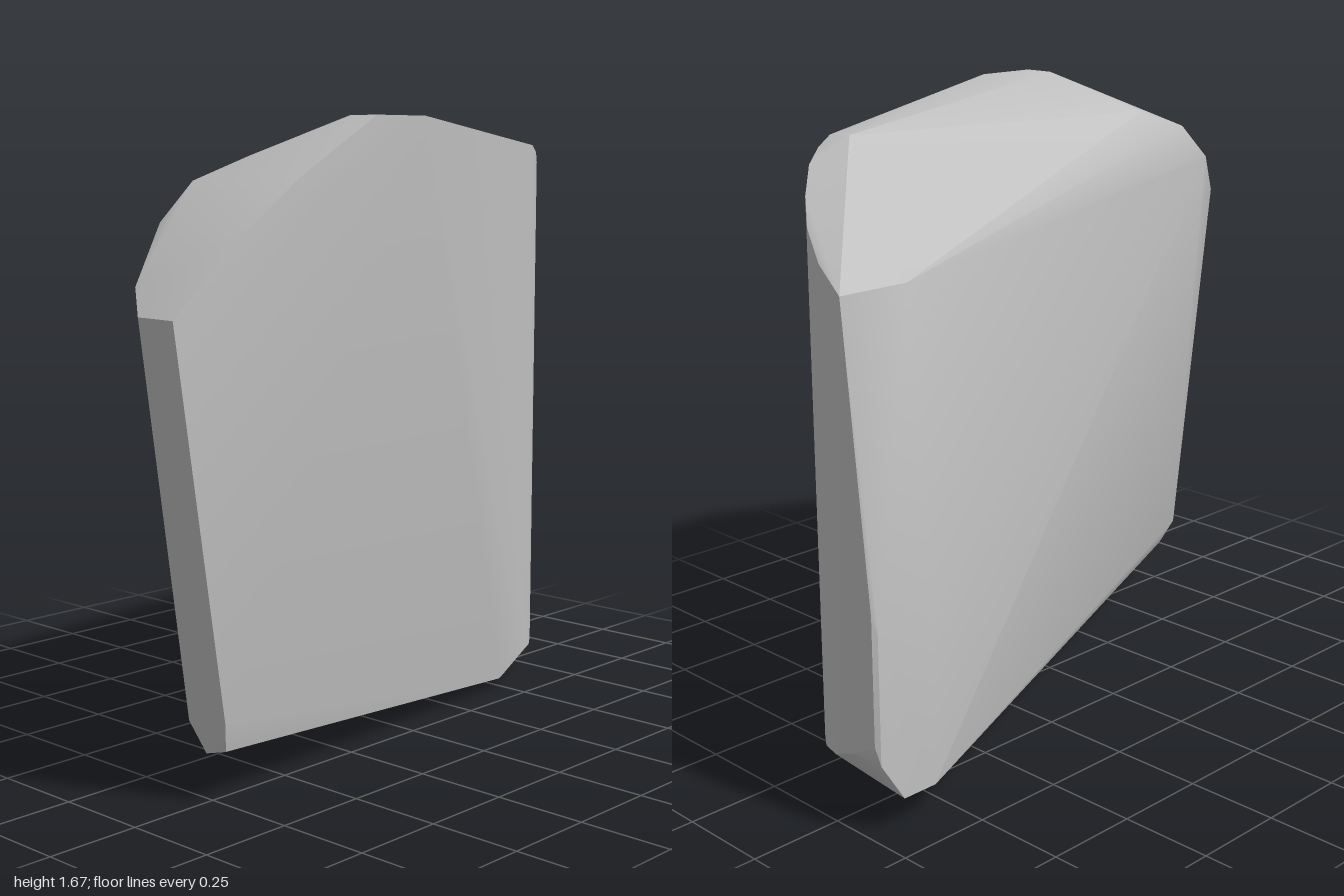
import * as THREE from 'three';
import { ConvexGeometry } from 'three/addons/geometries/ConvexGeometry.js';
import { toCreasedNormals } from 'three/addons/utils/BufferGeometryUtils.js';

const toPoints = (list) => list.map((p) => new THREE.Vector3(...p));

export function createModel() {
  const group = new THREE.Group();
  group.name = 'rock';

  const stone = new THREE.MeshStandardMaterial({ color: 0xc0c0c0 });
  stone.name = 'grey stone';

  // Crown and the sloping bevel at the upper front
  const crown = toPoints([
    [0.41, 1.67, 0.15], [0.41, 1.67, 0.33], [0.32, 1.67, 0.33],
    [0.05, 1.61, -0.65], [0.05, 1.57, 0.42], [0.06, 1.51, 0.62],
    [0.05, 1.41, 0.72], [0.19, 1.27, 0.92], [0.28, 1.21, 0.99],
    [0.41, 1.21, 1.0], [0.41, 1.38, 0.8], [0.41, 1.52, 0.6],
  ]);

  // Broad right-hand side with its tilted edges
  const flank = toPoints([
    [-0.41, 0.09, -0.82], [-0.41, 0.54, -0.82], [-0.31, 1.32, -0.79],
    [-0.41, 0.54, -0.99], [-0.41, 0.2, -0.99], [-0.41, 0.09, -0.92],
  ]);

  // Lower front corner and underside
  const base = toPoints([
    [0.2, 0.2, 0.78], [0.24, 0.12, 0.76], [0.31, 0.14, 0.76], [0.33, 0.22, 0.78],
    [0.17, 0.03, -0.48], [0.08, 0.0, -0.62], [-0.05, 0.0, -0.65],
    [0.05, 0.02, -0.2], [-0.05, 0.03, -0.75],
  ]);

  // Rounded upright corner at the back: x, z, lower y, upper y
  const corner = [
    [0.15, -0.63, 0.09, 1.6], [0.11, -0.7, 0.08, 1.58], [0.06, -0.77, 0.08, 1.55],
    [-0.01, -0.84, 0.09, 1.49], [-0.09, -0.9, 0.11, 1.43], [-0.19, -0.95, 0.14, 1.37],
    [-0.31, -0.99, 0.2, 1.32], [-0.4, -1.0, 0.25, 0.58],
  ].flatMap(([x, z, low, high]) => [new THREE.Vector3(x, low, z), new THREE.Vector3(x, high, z)]);

  const hull = new ConvexGeometry([...crown, ...flank, ...base, ...corner]);
  const boulder = new THREE.Mesh(toCreasedNormals(hull, 0.5), stone);
  boulder.name = 'boulder';
  group.add(boulder);
  return group;
}
